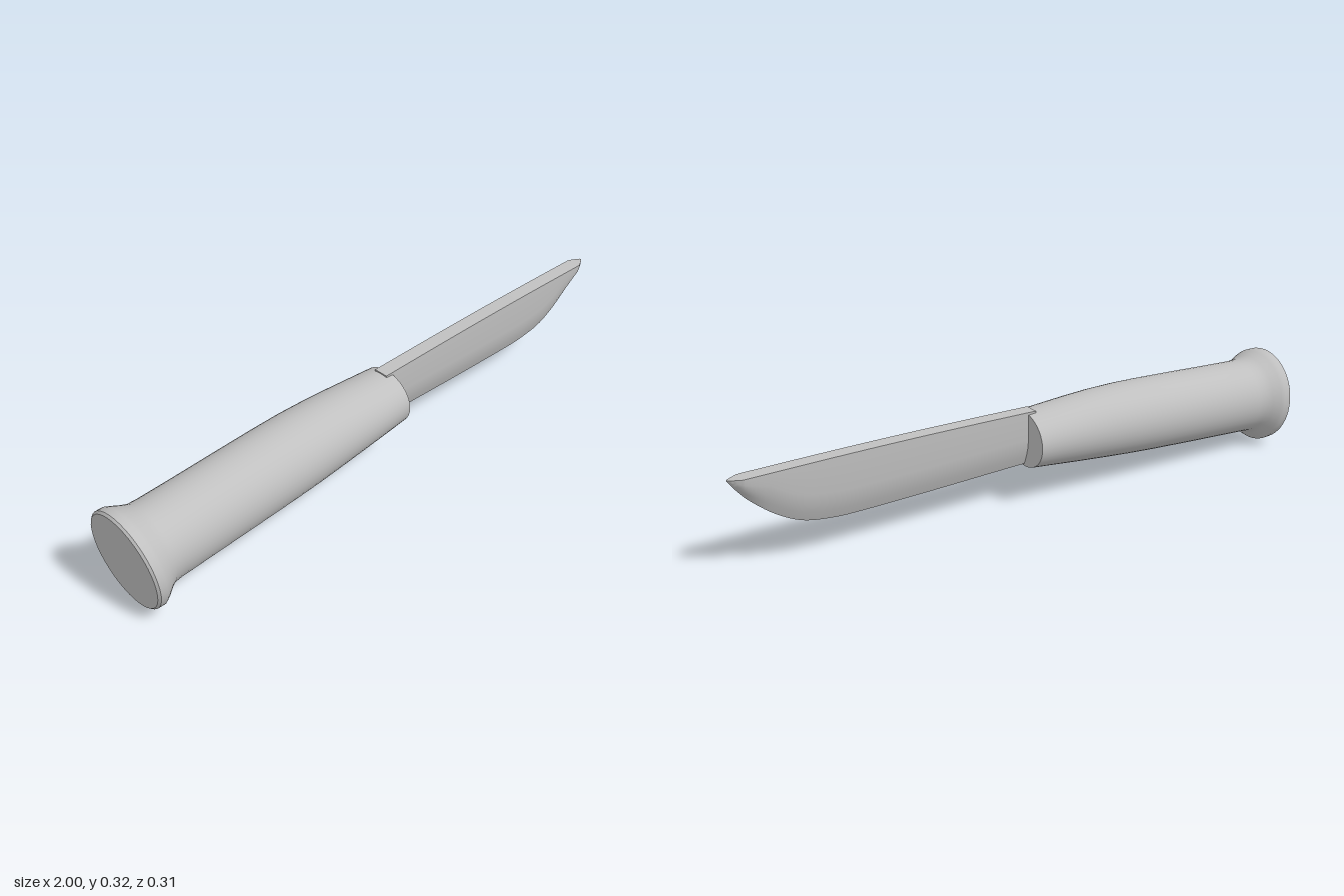
import * as THREE from 'three';
import { toCreasedNormals } from 'three/addons/utils/BufferGeometryUtils.js';

// Skin closed rings running along +x, capping both ends
function loft(rings, crease) {
  const n = rings[0].length;
  const pos = rings.flat().flatMap((p) => p.toArray());
  const index = [];
  for (let i = 0; i < rings.length - 1; i++) {
    for (let j = 0; j < n; j++) {
      const k = (j + 1) % n;
      const a = i * n + j, b = i * n + k, c = a + n, d = b + n;
      index.push(a, b, c, b, d, c);
    }
  }
  const cap = (ring, base, flip) => {
    const mid = ring.reduce((s, p) => s.add(p), new THREE.Vector3()).divideScalar(n);
    const m = pos.length / 3;
    pos.push(...mid.toArray());
    for (let j = 0; j < n; j++) {
      const k = (j + 1) % n;
      if (flip) index.push(m, base + k, base + j);
      else index.push(m, base + j, base + k);
    }
  };
  cap(rings[0], 0, true);
  cap(rings[rings.length - 1], (rings.length - 1) * n, false);
  const g = new THREE.BufferGeometry();
  g.setAttribute('position', new THREE.Float32BufferAttribute(pos, 3));
  g.setIndex(index);
  return toCreasedNormals(g, crease);
}

// Oval ring; slant leans the ring so its top sits further back
function ovalRing([x, top, bottom, rz, slant]) {
  const yc = (top + bottom) / 2, ry = (top - bottom) / 2;
  return Array.from({ length: 40 }, (_, j) => {
    const a = (j / 40) * Math.PI * 2;
    return new THREE.Vector3(x - Math.cos(a) * ry * slant, yc + Math.cos(a) * ry, Math.sin(a) * rz);
  });
}

// Knife section: flat spine, near-parallel sides, curved bevel to the edge
function bladeRing(x, top, edge) {
  const h = Math.max(top - edge, 0.003);
  const bevel = Math.min(0.09, h * 0.7);
  const half = 0.025 * Math.min(1, 0.08 + h / 0.06);
  const side = [[top, 1], [edge + bevel, 0.97], [edge + bevel * 0.66, 0.8], [edge + bevel * 0.33, 0.47]];
  const left = side.map(([y, f]) => new THREE.Vector3(x, y, half * f));
  const right = side.map(([y, f]) => new THREE.Vector3(x, y, -half * f)).reverse();
  return [...left, new THREE.Vector3(x, top - h, 0), ...right];
}

export function createModel() {
  const group = new THREE.Group();
  const steel = new THREE.MeshStandardMaterial({ color: 0xc0c0c0 });
  steel.name = 'plain grey';
  const add = (name, geometry) => {
    const mesh = new THREE.Mesh(geometry, steel);
    mesh.name = name;
    group.add(mesh);
  };

  // Handle with flared pommel: x, top, bottom, half width, slant
  add('handle', loft([
    [-0.987, 0.318, 0.008, 0.15, 0.08],
    [-0.98, 0.325, 0.002, 0.157, 0.08],
    [-0.957, 0.325, 0.001, 0.157, 0.08],
    [-0.945, 0.32, 0.008, 0.151, 0.07],
    [-0.92, 0.308, 0.03, 0.136, 0.05],
    [-0.9, 0.301, 0.042, 0.127, 0.03],
    [-0.87, 0.3, 0.046, 0.125, 0],
    [-0.75, 0.305, 0.053, 0.124, 0],
    [-0.6, 0.312, 0.062, 0.124, 0],
    [-0.45, 0.318, 0.072, 0.124, 0],
    [-0.35, 0.32, 0.08, 0.123, 0],
    [-0.25, 0.319, 0.089, 0.119, 0],
    [-0.15, 0.314, 0.099, 0.114, 0],
    [-0.05, 0.307, 0.11, 0.109, 0],
    [0.027, 0.302, 0.118, 0.104, 0],
  ].map(ovalRing), 0.6));

  // Blade following the belly curve up to the tip
  const belly = new THREE.SplineCurve([
    [0.0, 0.126], [0.15, 0.122], [0.35, 0.116], [0.6, 0.111], [0.7, 0.114],
    [0.79, 0.13], [0.87, 0.172], [0.94, 0.23], [0.98, 0.275], [1, 0.305],
  ].map(([x, y]) => new THREE.Vector2(x, y)));
  const spine = (x) => 0.307 + 0.005 * Math.sin(Math.PI * Math.min(x, 1));
  add('blade', loft(belly.getPoints(48).map((p) => bladeRing(p.x, spine(p.x), p.y)), 0.6));

  return group;
}
